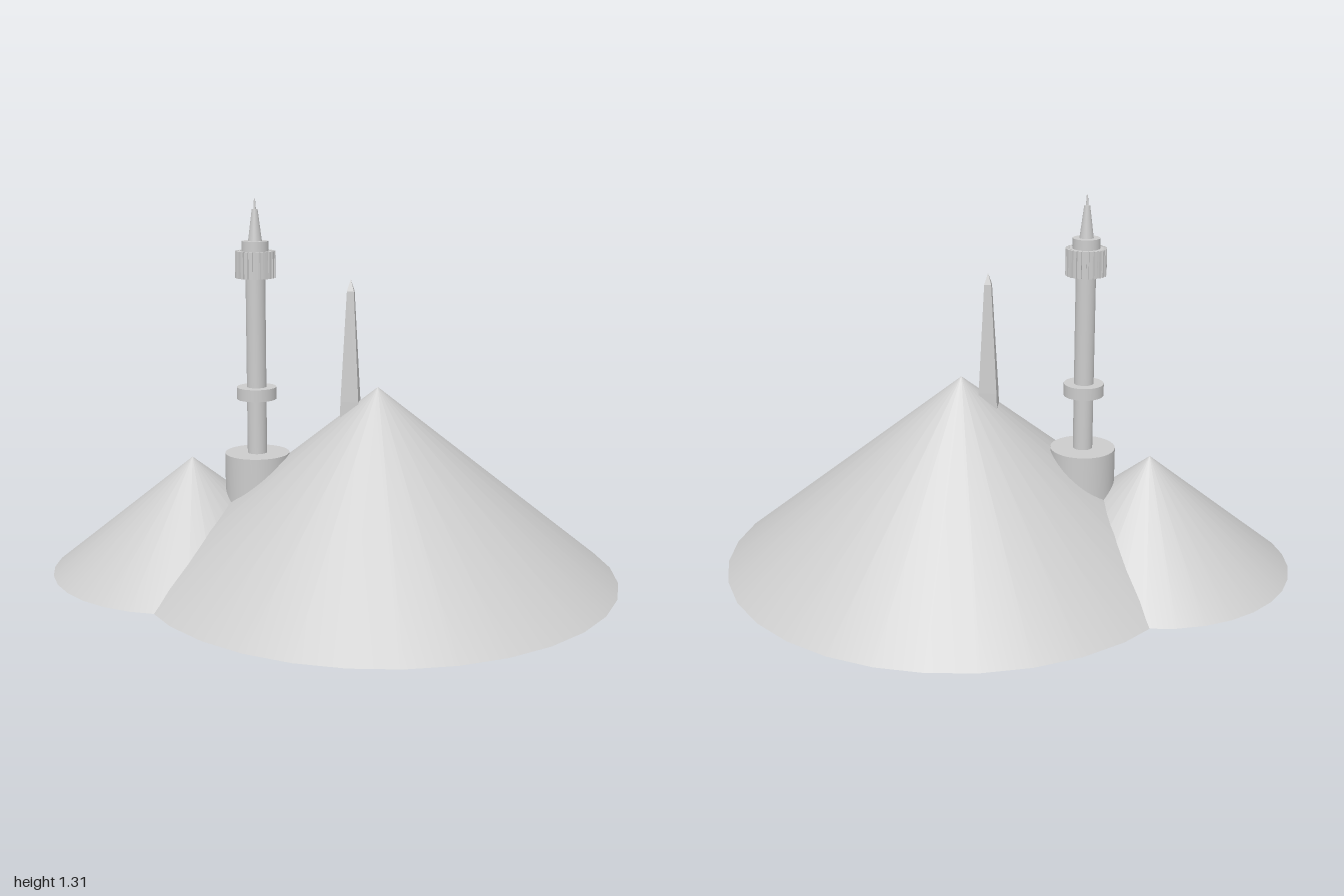
import * as THREE from 'three';

const TOWER_X = -0.265;

export function createModel() {
  const model = new THREE.Group();
  const smooth = new THREE.MeshStandardMaterial({ color: 0xcccccc });
  const flat = new THREE.MeshStandardMaterial({ color: 0xcccccc, flatShading: true });

  const add = (parent, name, geometry, x = 0, y = 0, material = smooth) => {
    const mesh = new THREE.Mesh(geometry, material);
    mesh.name = name;
    mesh.position.set(x, y, 0);
    parent.add(mesh);
    return mesh;
  };

  // Two overlapping conical hills
  add(model, 'largeHill', new THREE.ConeGeometry(0.84, 0.67, 32), 0.16, 0.335);
  add(model, 'smallHill', new THREE.ConeGeometry(0.5, 0.4, 32), -0.5, 0.2);

  // Slender square spire standing on the large hill
  const spireProfile = [[0, 0.5], [0.035, 0.5], [0.031, 0.62], [0.012, 1.0], [0, 1.04]]
    .map(([half, y]) => new THREE.Vector2(half * Math.SQRT2, y));
  const spire = add(model, 'squareSpire', new THREE.LatheGeometry(spireProfile, 4), 0.065, 0, flat);
  spire.rotation.y = Math.PI / 4;

  // Tower made of stacked round sections
  const tower = new THREE.Group();
  tower.name = 'tower';
  tower.position.x = TOWER_X;
  model.add(tower);
  const drum = (name, radius, bottom, top) =>
    add(tower, name, new THREE.CylinderGeometry(radius, radius, top - bottom, 32), 0, (bottom + top) / 2);
  drum('towerBase', 0.113, 0.1, 0.425);
  drum('towerShaft', 0.034, 0.4, 1.06);
  drum('lowerCollar', 0.069, 0.618, 0.66);
  drum('galleryCore', 0.063, 1.042, 1.132);
  drum('galleryRoof', 0.046, 1.13, 1.167);

  // Vertical ribs around the gallery
  const ribs = new THREE.Group();
  ribs.name = 'galleryRibs';
  tower.add(ribs);
  const ribCount = 24;
  const ribGeometry = new THREE.BoxGeometry(0.01, 0.092, 0.012);
  for (let i = 0; i < ribCount; i++) {
    const a = (i / ribCount) * Math.PI * 2;
    const rib = add(ribs, 'galleryRib', ribGeometry);
    rib.position.set(Math.sin(a) * 0.063, 1.087, Math.cos(a) * 0.063);
    rib.rotation.y = a;
  }

  // Tapered finial and its needle
  add(tower, 'finial', new THREE.CylinderGeometry(0.01, 0.024, 0.11, 24), 0, 1.22);
  add(tower, 'needle', new THREE.CylinderGeometry(0.002, 0.005, 0.04, 12), 0, 1.29);

  return model;
}
